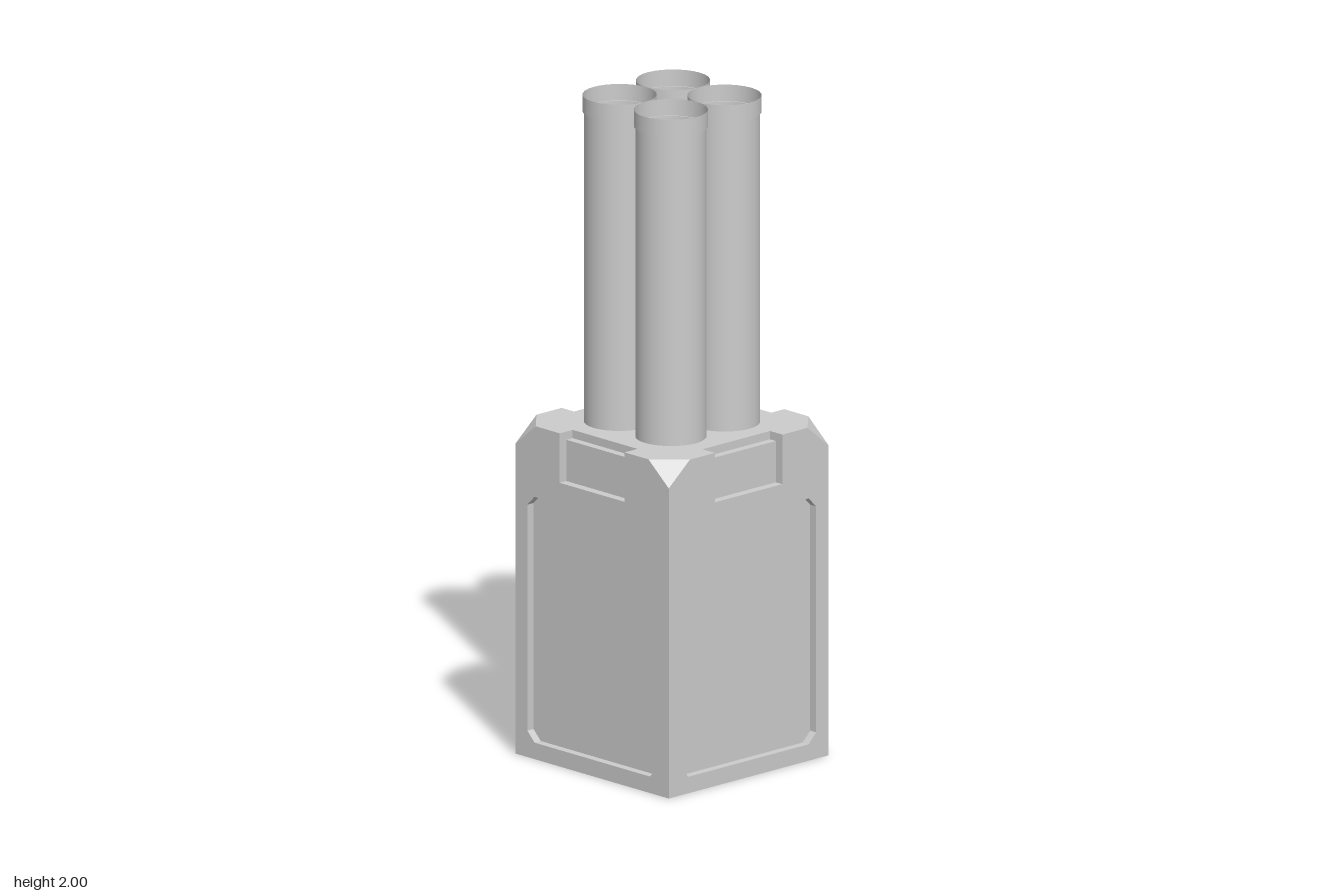
import * as THREE from 'three';

const H = 0.322;         // half width of the housing
const TOP = 1.01;        // height of the housing
const CUT = 0.237;       // where the corner cuts start
const CUT_Y = 0.94;
const NOTCH = 0.136;     // half width of the edge notches
const NOTCH_Y = 0.86;
const STEP_Z = 0.295, STEP_Y = 0.985, BACK_Z = 0.27;
const PANEL_Z = 0.297;

const flat = new THREE.MeshStandardMaterial({ color: 0xcccccc, flatShading: true, side: THREE.DoubleSide });
const smooth = new THREE.MeshStandardMaterial({ color: 0xcccccc, side: THREE.DoubleSide });

const toShape = (pts) => new THREE.Shape(pts.map(([x, y]) => new THREE.Vector2(x, y)));

function add(parent, name, geometry, material = flat) {
  const mesh = new THREE.Mesh(geometry, material);
  mesh.name = name;
  parent.add(mesh);
  return mesh;
}

// Ribbon of quads between two matching rows of 3D points
function ribbon(rowA, rowB) {
  const pos = [];
  for (let i = 0; i < rowA.length - 1; i++) {
    const [a, b, c, d] = [rowA[i], rowA[i + 1], rowB[i + 1], rowB[i]];
    pos.push(...a, ...b, ...c, ...a, ...c, ...d);
  }
  const g = new THREE.BufferGeometry();
  g.setAttribute('position', new THREE.Float32BufferAttribute(pos, 3));
  g.computeVertexNormals();
  return g;
}

// One side of the housing, facing +z
function createSide() {
  const side = new THREE.Group();
  side.name = 'housingSide';

  // Recessed panel outline with clipped corners
  const w = 0.272, lo = 0.05, hi = 0.795, c = 0.03;
  const panel = [
    [-w + c, lo], [w - c, lo], [w, lo + c], [w, hi - c],
    [w - c, hi], [-w + c, hi], [-w, hi - c], [-w, lo + c],
  ];

  const wall = toShape([
    [-H, 0], [H, 0], [H, CUT_Y], [CUT, TOP], [NOTCH, TOP], [NOTCH, NOTCH_Y],
    [-NOTCH, NOTCH_Y], [-NOTCH, TOP], [-CUT, TOP], [-H, CUT_Y],
  ]);
  wall.holes.push(toShape(panel));
  add(side, 'wall', new THREE.ShapeGeometry(wall)).position.z = H;
  add(side, 'recessedPanel', new THREE.ShapeGeometry(toShape(panel))).position.z = PANEL_Z;

  const loop = [...panel, panel[0]];
  add(side, 'panelRim', ribbon(
    loop.map(([x, y]) => [x, y, PANEL_Z]),
    loop.map(([x, y]) => [x, y, H]),
  ));

  // Stepped notch in the top edge
  const steps = [[H, NOTCH_Y], [STEP_Z, NOTCH_Y], [STEP_Z, STEP_Y], [BACK_Z, STEP_Y], [BACK_Z, TOP]];
  add(side, 'notchSteps', ribbon(
    steps.map(([z, y]) => [-NOTCH, y, z]),
    steps.map(([z, y]) => [NOTCH, y, z]),
  ));
  for (const s of [-1, 1]) {
    const cheek = new THREE.ShapeGeometry(toShape([...steps, [H, TOP]]));
    cheek.rotateY(-Math.PI / 2); // shape x becomes z
    add(side, 'notchCheek', cheek).position.x = s * NOTCH;
  }

  // Cut corner on the +x end
  const corner = new THREE.BufferGeometry();
  corner.setAttribute('position', new THREE.Float32BufferAttribute(
    [CUT, TOP, H, H, CUT_Y, H, H, TOP, CUT], 3));
  corner.computeVertexNormals();
  add(side, 'cutCorner', corner);
  return side;
}

// Top plate: one quarter of the outline repeated four times
function createTopPlate() {
  const quarter = [[CUT, H], [NOTCH, H], [NOTCH, BACK_Z], [-NOTCH, BACK_Z], [-NOTCH, H], [-CUT, H]];
  const outline = [];
  for (let i = 0; i < 4; i++) {
    const cos = [1, 0, -1, 0][i], sin = [0, 1, 0, -1][i];
    for (const [x, y] of quarter) outline.push([x * cos - y * sin, x * sin + y * cos]);
  }
  const g = new THREE.ShapeGeometry(toShape(outline));
  g.rotateX(-Math.PI / 2);
  return g.translate(0, TOP, 0);
}

// Open tube with a slightly wider lip
function createTube() {
  const tube = new THREE.Group();
  tube.name = 'tube';
  const r = 0.104, lipR = 0.108, lipY = 1.95, n = 28;
  const body = new THREE.CylinderGeometry(r, r, lipY - TOP, n, 1, true);
  add(tube, 'tubeBody', body, smooth).position.y = (lipY + TOP) / 2;
  const lip = new THREE.CylinderGeometry(lipR, lipR, 2 - lipY, n, 1, true);
  add(tube, 'tubeLip', lip, smooth).position.y = (2 + lipY) / 2;
  const ledge = new THREE.RingGeometry(r, lipR, n).rotateX(-Math.PI / 2).rotateY(Math.PI / 2);
  add(tube, 'lipLedge', ledge, flat).position.y = lipY;
  return tube;
}

export function createModel() {
  const model = new THREE.Group();
  model.name = 'tubeCluster';

  // Open-bottomed housing
  const housing = new THREE.Group();
  housing.name = 'housing';
  for (let i = 0; i < 4; i++) {
    const side = createSide();
    side.rotation.y = (i * Math.PI) / 2;
    housing.add(side);
  }
  add(housing, 'topPlate', createTopPlate());
  model.add(housing);

  // Four tubes in a square
  for (const x of [-1, 1]) {
    for (const z of [-1, 1]) {
      const tube = createTube();
      tube.position.set(x * 0.108, 0, z * 0.108);
      model.add(tube);
    }
  }
  return model;
}
